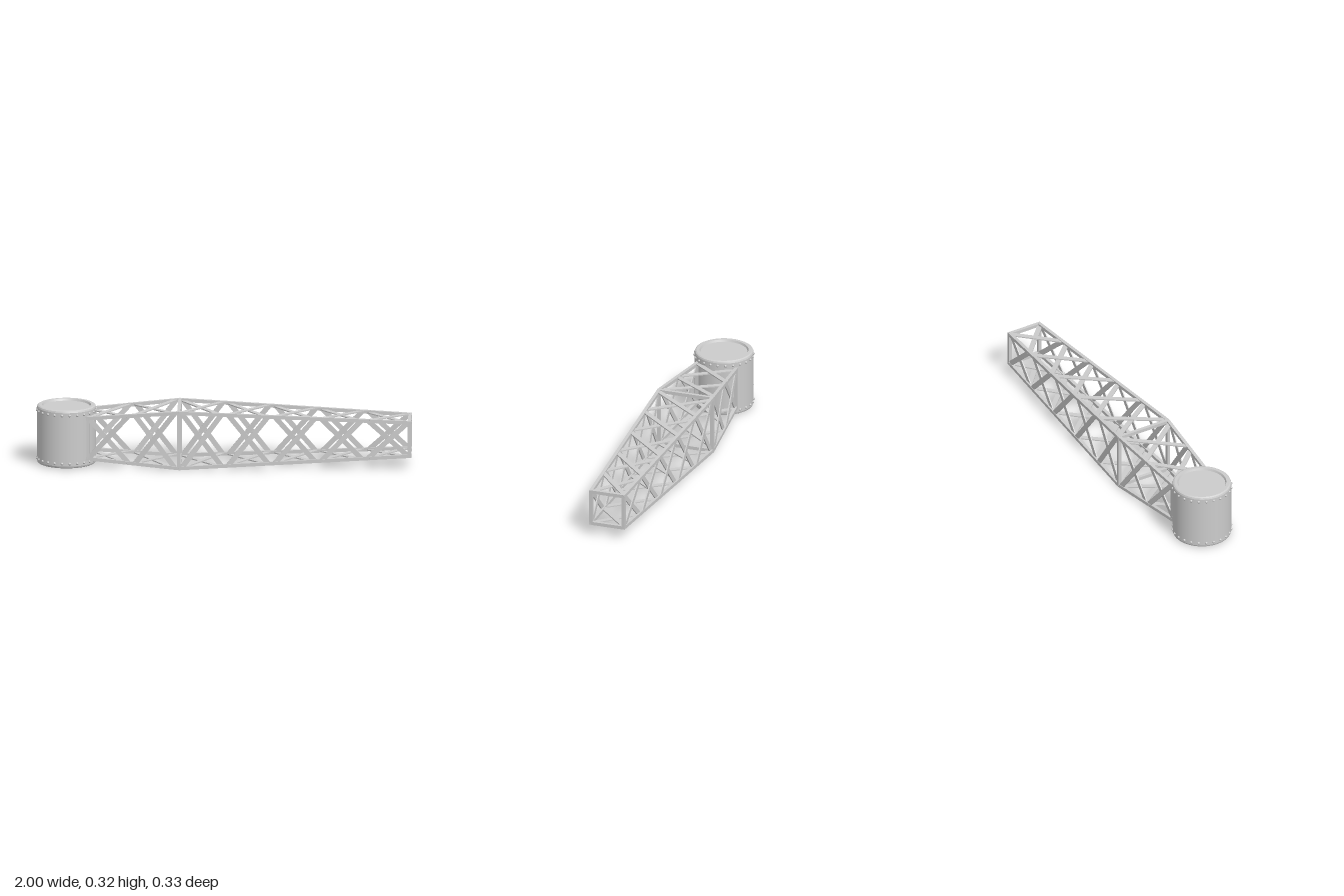
import * as THREE from 'three';

const mat = new THREE.MeshStandardMaterial({ color: 0xcccccc });
const sheet = new THREE.MeshStandardMaterial({ color: 0xcccccc, side: THREE.DoubleSide });
const V = (x, y, z) => new THREE.Vector3(x, y, z);
const MID = 0.16;          // height of the truss axis
const T = 0.018;           // chord thickness
const R = 0.157;           // drum radius

// Straight bar from a to b; "out" is the direction its thickness faces
function bar(name, a, b, width, thick, out) {
  const dir = b.clone().sub(a);
  const mesh = new THREE.Mesh(new THREE.BoxGeometry(dir.length(), width, thick), mat);
  dir.normalize();
  const side = out.clone().cross(dir).normalize();
  const n = dir.clone().cross(side);
  mesh.quaternion.setFromRotationMatrix(new THREE.Matrix4().makeBasis(dir, side, n));
  mesh.position.copy(a).add(b).multiplyScalar(0.5);
  mesh.name = name;
  return mesh;
}

// Half size of the truss (outer face) along x
function half(x) {
  return x < -0.235
    ? THREE.MathUtils.mapLinear(x, -0.73, -0.235, 0.118, 0.16)
    : THREE.MathUtils.mapLinear(x, -0.235, 1, 0.16, 0.1);
}

// Corner i (0..3) of the square section at x, on the chord centre line
function corner(x, i) {
  const h = half(x) - T / 2;
  const sy = i === 0 || i === 1 ? 1 : -1;
  const sz = i === 0 || i === 3 ? 1 : -1;
  return V(x, MID + sy * h, sz * h);
}

function makeTruss() {
  const truss = new THREE.Group();
  truss.name = 'latticeBoom';
  const outs = [V(0, 1, 0), V(0, 0, -1), V(0, -1, 0), V(0, 0, 1)];
  const panel = 0.248, inset = 0.018;
  for (let i = 0; i < 4; i++) {
    const j = (i + 1) % 4;
    // corner chords
    truss.add(bar('chord', corner(-0.73, i), corner(-0.235, i), T, T, V(0, 1, 0)));
    truss.add(bar('chord', corner(-0.235, i), corner(1, i), T, T, V(0, 1, 0)));
    // square frames at both ends and at the widest point
    for (const x of [-0.719, -0.235, 0.991]) {
      truss.add(bar('frameBar', corner(x, i), corner(x, j), T, T, outs[i]));
    }
    // flat crossed braces in each panel, their feet set apart along the chords
    for (let k = 0; k < 7; k++) {
      const x0 = -0.735 + k * panel + inset;
      const x1 = x0 + panel - 2 * inset;
      for (const s of [1, -1]) {
        const a = corner(x0, s > 0 ? i : j);
        const b = corner(x1, s > 0 ? j : i);
        const shift = outs[i].clone().multiplyScalar(s * 0.003);
        truss.add(bar('crossBrace', a.add(shift), b.add(shift), 0.027, 0.006, outs[i]));
      }
    }
  }
  return truss;
}

// Thin seam wrapped round the drum wall; angle 0 faces +z and grows towards +x
function seam(y, start, length) {
  const r = R + 0.001;
  const geo = new THREE.CylinderGeometry(r, r, 0.002, 48, 1, true, start, length);
  const mesh = new THREE.Mesh(geo, sheet);
  mesh.position.y = y;
  mesh.name = 'plateSeam';
  return mesh;
}

function makeDrum() {
  const drum = new THREE.Group();
  drum.name = 'drum';

  // straight wall, bevelled rims and recessed lids; each run has its own hard edges
  const lower = [[0, 0.015], [0.125, 0.015], [0.13, 0.004], [0.147, 0.004], [0.154, 0.008],
    [R, 0.016]];
  const profile = [...lower, ...lower.slice().reverse().map(([r, y]) => [r, 0.324 - y])];
  for (let k = 0; k < profile.length - 1; k++) {
    const pts = [profile[k], profile[k + 1]].map(([r, y]) => new THREE.Vector2(r, y));
    const part = new THREE.Mesh(new THREE.LatheGeometry(pts, 64), mat);
    part.name = 'drumShell';
    drum.add(part);
  }

  // two rows of rivets
  const rivet = new THREE.SphereGeometry(0.0085, 10, 8);
  for (const y of [0.03, 0.293]) {
    for (let k = 0; k < 24; k++) {
      const a = ((k + 0.5) / 24) * Math.PI * 2;
      const mesh = new THREE.Mesh(rivet, mat);
      mesh.position.set(Math.cos(a) * R, y, Math.sin(a) * R);
      mesh.scale.setScalar(0.85);
      mesh.name = 'rivet';
      drum.add(mesh);
    }
  }

  // plate seams
  drum.add(seam(0.208, 0.6, 2), seam(0.192, 0.6, 2), seam(0.095, 0.6, 2));
  drum.add(seam(0.22, 4.0, 1.5), seam(0.205, 4.0, 1.3), seam(0.12, 3.3, 0.9));

  drum.position.x = -0.836;
  return drum;
}

export function createModel() {
  const model = new THREE.Group();
  model.name = 'craneBoom';
  model.add(makeDrum(), makeTruss());
  return model;
}
